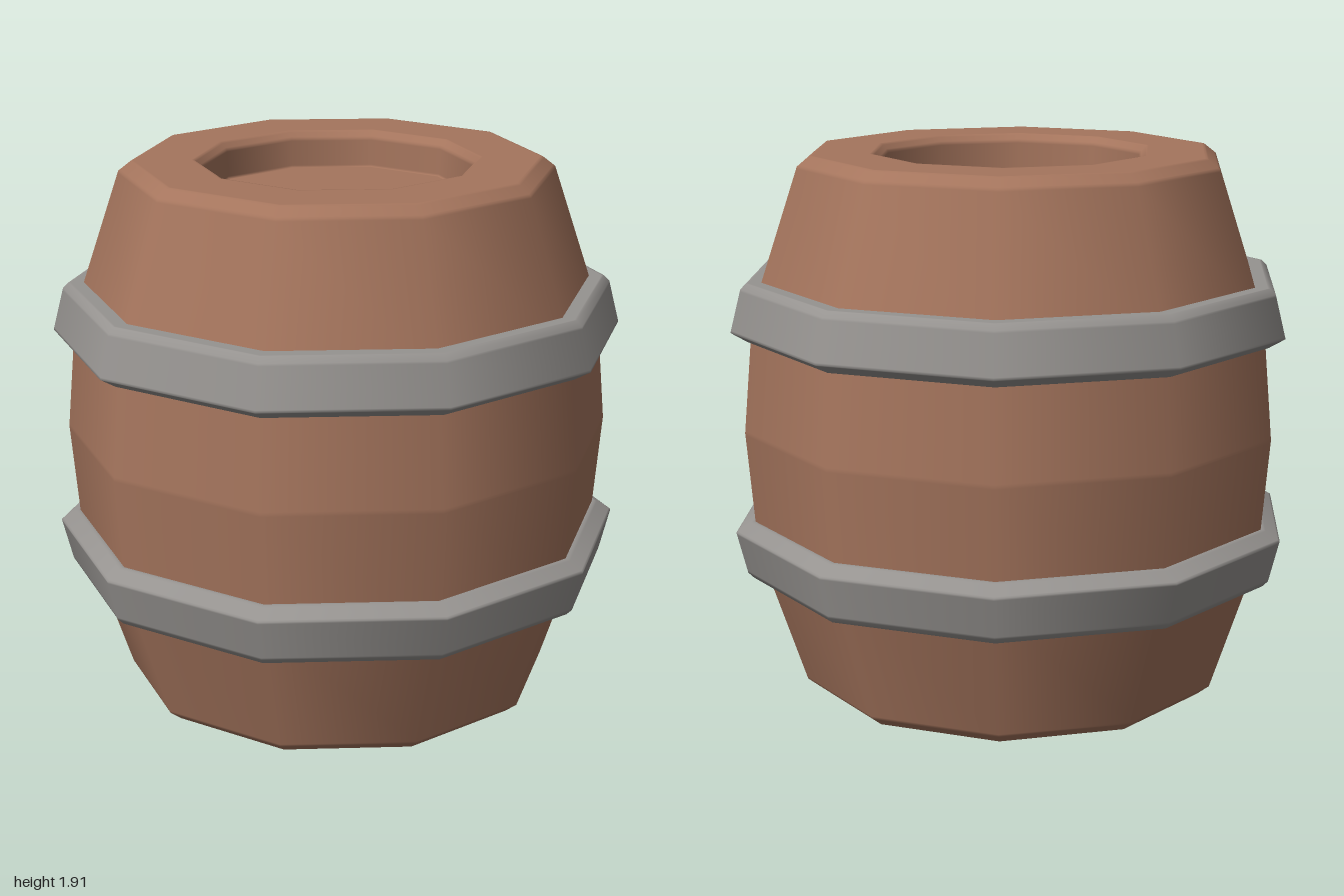
import * as THREE from 'three';

const SIDES = 10;
const HEIGHT = 1.915;

// Ten-sided lathe; extra points beside each corner keep the faces flat and the bevels soft
function turned(profile, material, name) {
  const pts = [];
  profile.forEach(([r, y], i) => {
    const p = new THREE.Vector2(r, y);
    const beside = (q) => {
      const d = new THREE.Vector2(q[0], q[1]).sub(p);
      const len = d.length();
      return len > 0.03 ? p.clone().addScaledVector(d, 0.008 / len) : null;
    };
    const before = i > 0 && beside(profile[i - 1]);
    const after = i < profile.length - 1 && beside(profile[i + 1]);
    if (before) pts.push(before);
    pts.push(p);
    if (after) pts.push(after);
  });
  // a corner points along +x, flat sides face front and back
  const mesh = new THREE.Mesh(new THREE.LatheGeometry(pts, SIDES, Math.PI / 2), material);
  mesh.name = name;
  return mesh;
}

// Mirrors a profile about mid height, keeping its direction
const flip = (profile) => profile.map(([r, y]) => [r, HEIGHT - y]).reverse();

export function createModel() {
  const wood = new THREE.MeshStandardMaterial({ color: 0xa5755d });
  wood.name = 'brown wood';
  const metal = new THREE.MeshStandardMaterial({ color: 0x969390 });
  metal.name = 'grey metal';

  const barrel = new THREE.Group();
  barrel.name = 'barrel';

  // Wooden body: recessed ends, bevelled rims and bulging sides
  const lowerHalf = [
    [0, 0.13], [0.465, 0.13], [0.47, 0.025], [0.495, 0],
    [0.71, 0], [0.755, 0.035], [0.92, 0.53],
  ];
  const body = [...lowerHalf, [0.957, HEIGHT / 2], ...flip(lowerHalf)];
  barrel.add(turned(body, wood, 'body'));

  // Metal hoops, wider toward the middle of the barrel
  const hoop = [
    [0.89, 1.28], [0.94, 1.28], [0.998, 1.315],
    [0.96, 1.465], [0.94, 1.485], [0.86, 1.485],
  ];
  barrel.add(turned(hoop, metal, 'upperHoop'));
  barrel.add(turned(flip(hoop), metal, 'lowerHoop'));

  barrel.rotation.y = -0.011;
  const model = new THREE.Group();
  model.add(barrel);
  return model;
}
